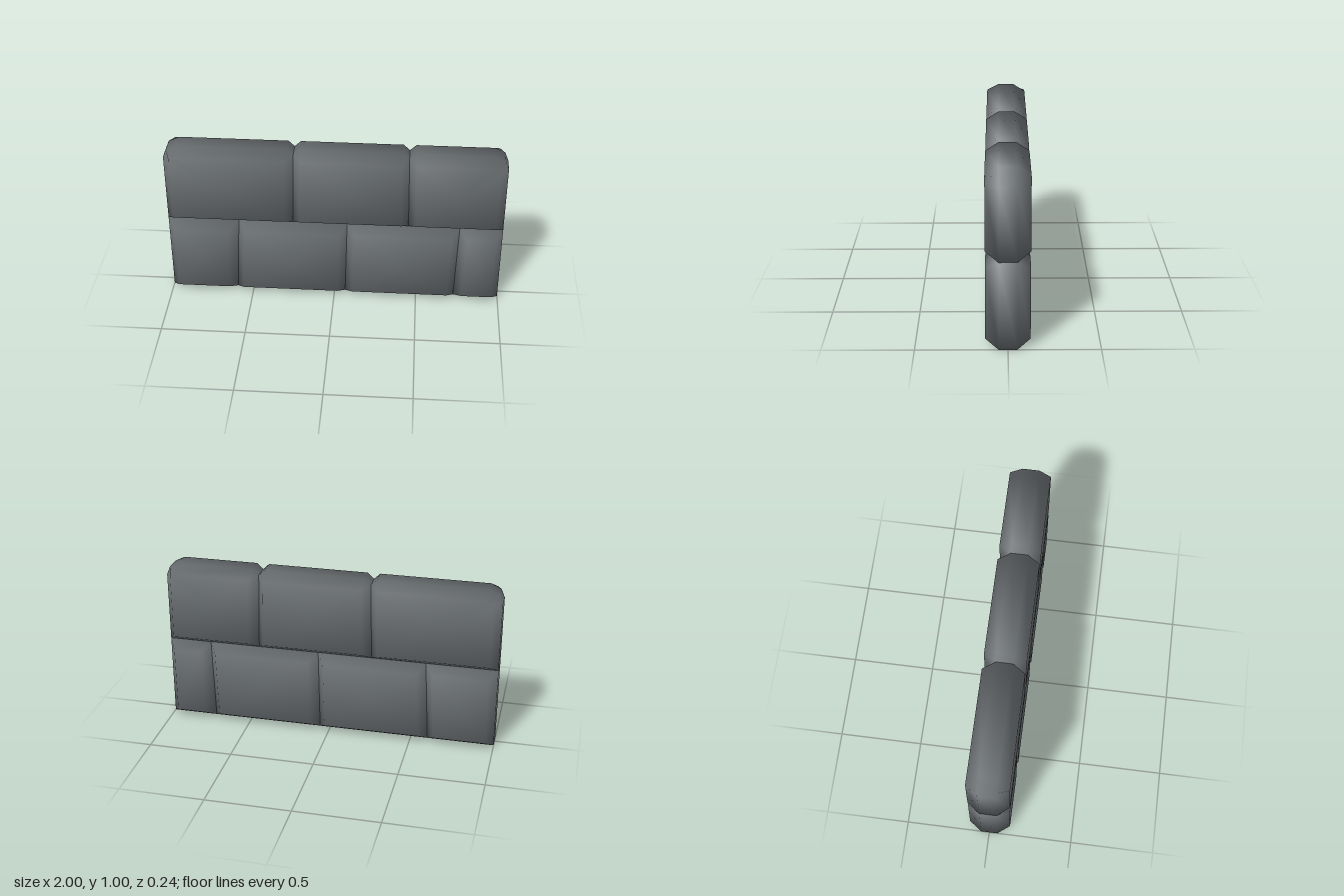
import * as THREE from 'three';

const INSET = 0.045, RIM_Z = 0.05, FACE_Z = 0.122;

// One bevelled brick: four outlines stacked through the depth, closed by fans.
// left / right are [bottom x, top x], so the joints can lean a little.
// corners: cut steps [dx, dy] for bottom-left, bottom-right, top-right, top-left.
function brickGeometry(left, right, y0, y1, corners) {
  const w = right[0] - left[0], h = y1 - y0;
  const signs = [[-1, -1], [1, -1], [1, 1], [-1, 1]];
  const outline = [];
  signs.forEach(([sx, sy], i) => {
    // keep the points counter-clockwise around the brick
    const steps = sx * sy > 0 ? corners[i].slice().reverse() : corners[i];
    const ordered = sx * sy > 0 ? steps.slice().reverse() : steps.slice().reverse();
    for (const [dx, dy] of ordered) outline.push({ sx, sy, dx, dy });
  });
  // sort by angle around the centre, which settles the order at every corner
  for (const p of outline) {
    p.a = Math.atan2(p.sy * (h / 2 - p.dy), p.sx * (w / 2 - p.dx));
  }
  outline.sort((a, b) => a.a - b.a);

  const pos = [], nor = [], index = [], n = outline.length;
  const place = (x, y, z) => {
    const v = (y - y0) / h;
    const l = THREE.MathUtils.lerp(left[0], left[1], v);
    const r = THREE.MathUtils.lerp(right[0], right[1], v);
    pos.push(l + (r - l) * x / w, y, z);
  };
  const normal = (x, y, z) => nor.push(...new THREE.Vector3(x, y, z).normalize().toArray());

  const rings = [[-FACE_Z, INSET], [-RIM_Z, 0], [RIM_Z, 0], [FACE_Z, INSET]];
  for (const [z, inset] of rings) {
    for (const { sx, sy, dx, dy } of outline) {
      const ix = Math.max(dx, inset), iy = Math.max(dy, inset);
      place(sx < 0 ? ix : w - ix, sy < 0 ? y0 + iy : y1 - iy, z);
      normal(sx * 0.84, sy * 0.84, Math.sign(z) * (inset ? 2.1 : 0.4));
    }
  }
  for (let r = 0; r < 3; r++) {
    for (let i = 0; i < n; i++) {
      const a = r * n + i, b = r * n + (i + 1) % n;
      index.push(a, b, b + n, a, b + n, a + n);
    }
  }
  // back and front faces
  for (const side of [-1, 1]) {
    const c = pos.length / 3, base = side < 0 ? 0 : 3 * n;
    place(w / 2, (y0 + y1) / 2, side * FACE_Z);
    normal(0, 0, side);
    for (let i = 0; i < n; i++) {
      const a = base + i, b = base + (i + 1) % n;
      if (side > 0) index.push(c, a, b);
      else index.push(c, b, a);
    }
  }

  const g = new THREE.BufferGeometry();
  g.setAttribute('position', new THREE.Float32BufferAttribute(pos, 3));
  g.setAttribute('normal', new THREE.Float32BufferAttribute(nor, 3));
  g.setIndex(index);
  return g;
}

export function createModel() {
  const wall = new THREE.Group();
  wall.name = 'brickWall';
  const stone = new THREE.MeshStandardMaterial({ color: 0x666b6e });
  stone.name = 'grey stone';

  // corner styles
  const square = [[0, 0]];
  const notch = [[0, 0.035], [0.037, 0]];
  const rounded = [[0, 0.08], [0.02, 0.03], [0.08, 0]];

  const rows = [
    { name: 'lowerBrick', y: [0, 0.5], top: false,
      joints: [[-1, -1], [-0.6, -0.575], [0.065, 0.075], [0.73, 0.745], [1, 1]] },
    { name: 'upperBrick', y: [0.5, 1], top: true,
      joints: [[-1, -1], [-0.25, -0.238], [0.44, 0.43], [1, 1]] },
  ];
  for (const { name, y, top, joints } of rows) {
    const last = joints.length - 2;
    for (let i = 0; i <= last; i++) {
      const topLeft = !top ? square : i === 0 ? rounded : notch;
      const topRight = !top ? square : i === last ? rounded : notch;
      const brick = new THREE.Mesh(
        brickGeometry(joints[i], joints[i + 1], y[0], y[1], [square, square, topRight, topLeft]),
        stone);
      brick.name = name + (i + 1);
      wall.add(brick);
    }
  }
  return wall;
}
